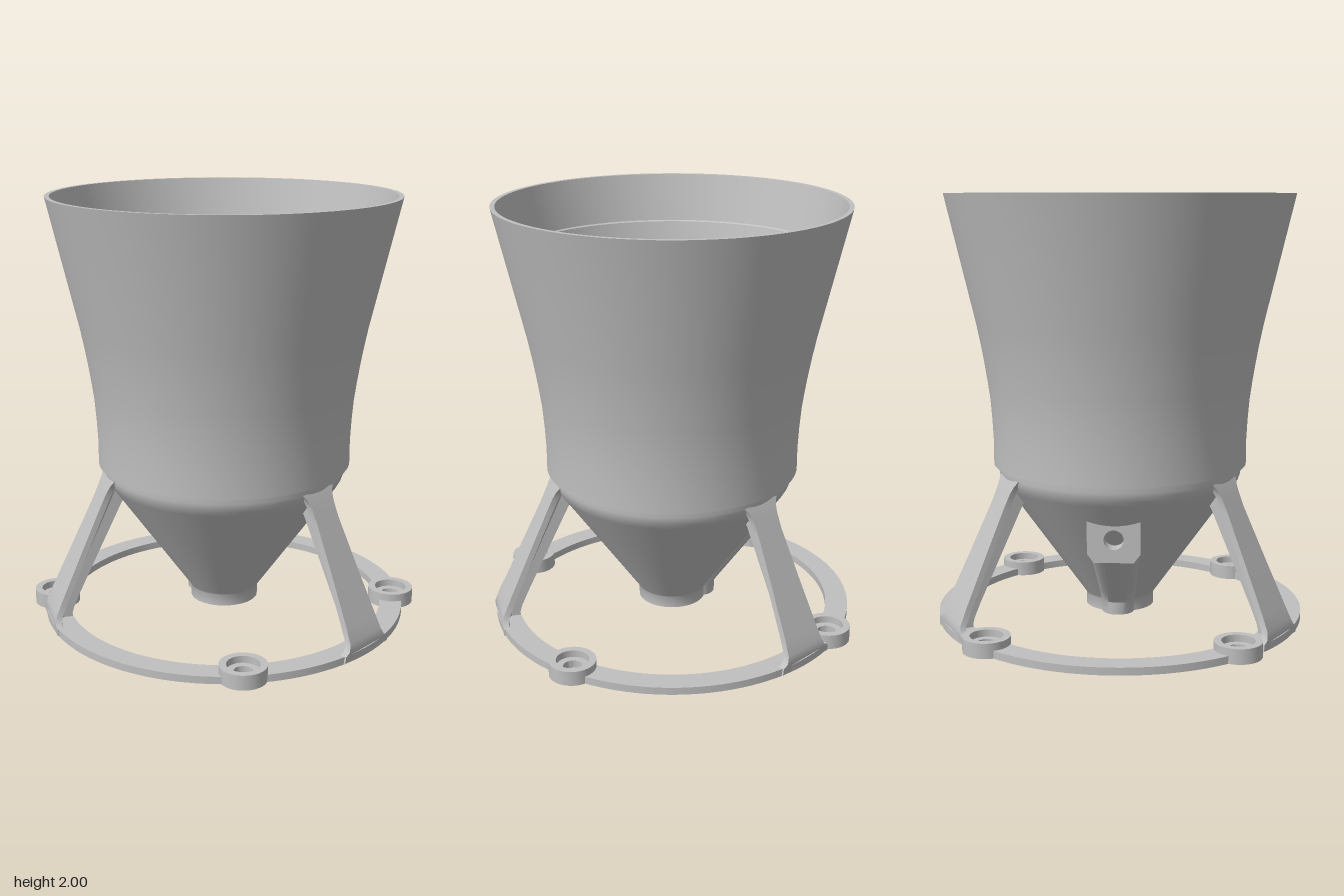
import * as THREE from 'three';
import { toCreasedNormals } from 'three/addons/utils/BufferGeometryUtils.js';

const grey = new THREE.MeshStandardMaterial({ color: 0xc0c0c0 });
grey.name = 'grey plastic';

function part(name, geometry, crease = 0.6) {
  const mesh = new THREE.Mesh(crease ? toCreasedNormals(geometry, crease) : geometry, grey);
  mesh.name = name;
  return mesh;
}

const lathe = (profile, segments = 96) =>
  new THREE.LatheGeometry(profile.map(([r, y]) => new THREE.Vector2(r, y)), segments);

const circle = (Type, x, y, r) => new Type().absarc(x, y, r, 0, Math.PI * 2, false);

// Leg with a T section: wide outer plate and a narrow inner rib, lofted upwards
function legGeometry() {
  const sections = [ // height, half width, outer z, depth
    [0.005, 0.16, 0.866, 0.1], [0.035, 0.155, 0.866, 0.1], [0.05, 0.13, 0.868, 0.1],
    [0.08, 0.116, 0.86, 0.1], [0.15, 0.108, 0.829, 0.1], [0.35, 0.092, 0.737, 0.106],
    [0.58, 0.077, 0.631, 0.113], [0.65, 0.08, 0.6, 0.13], [0.685, 0.09, 0.583, 0.15],
    [0.71, 0.11, 0.57, 0.15]];
  const pos = [], index = [], n = 10;
  for (const [y, w, z, d] of sections) {
    const right = [[w, z], [w, z - 0.03], [0.045, z - 0.04], [0.03, z - 0.055], [0.03, z - d]];
    const left = right.map(([x, pz]) => [-x, pz]).reverse();
    for (const [x, pz] of [...right, ...left]) pos.push(x, y, pz);
  }
  for (let s = 0; s < sections.length - 1; s++) {
    for (let i = 0; i < n; i++) {
      const a = s * n + i, b = s * n + (i + 1) % n;
      index.push(a, b, a + n, b, b + n, a + n);
    }
  }
  const g = new THREE.BufferGeometry();
  g.setAttribute('position', new THREE.Float32BufferAttribute(pos, 3));
  g.setIndex(index);
  return g;
}

export function createModel() {
  const model = new THREE.Group();
  model.name = 'hopper on stand';

  // Flared upper shell with a stepped inner wall
  model.add(part('hopperShell', lathe([
    [0.5, 0.74], [0.6, 0.74], [0.6, 0.85], [0.605, 0.95], [0.613, 1.05], [0.624, 1.13], [0.638, 1.22],
    [0.654, 1.31], [0.672, 1.4], [0.812, 2], [0.79, 2], [0.738, 1.775], [0.728, 1.77],
    [0.645, 1.4], [0.622, 1.3], [0.6, 1.2], [0.57, 1.05], [0.55, 0.94], [0.54, 0.87],
    [0.54, 0.8], [0.5, 0.8], [0.5, 0.74]])));

  // Hollow lower funnel with closed spout
  model.add(part('funnel', lathe([
    [0, 0.04], [0.162, 0.04], [0.162, 0.095], [0.168, 0.105], [0.55, 0.645], [0.565, 0.67], [0.574, 0.695],
    [0.576, 0.71], [0.576, 0.75], [0.46, 0.75], [0.44, 0.6], [0.12, 0.13], [0, 0.13]])));

  // Perforated screen with a hexagonal hole pattern
  const screen = circle(THREE.Shape, 0, 0, 0.505);
  const pitch = 0.02;
  for (let row = -22; row <= 22; row++) {
    for (let col = -20; col <= 20; col++) {
      const x = (col + (row & 1) * 0.5) * pitch, y = row * pitch * 0.866;
      if (Math.hypot(x, y) > 0.37) continue;
      const pts = [];
      for (let k = 0; k < 6; k++) {
        const a = (k + 0.5) * Math.PI / 3;
        pts.push(new THREE.Vector2(x + 0.007 * Math.cos(a), y + 0.007 * Math.sin(a)));
      }
      screen.holes.push(new THREE.Path(pts));
    }
  }
  const screenGeo = new THREE.ExtrudeGeometry(screen, { depth: 0.015, bevelEnabled: false, curveSegments: 48 });
  screenGeo.rotateX(-Math.PI / 2).translate(0, 0.755, 0);
  model.add(part('screen', screenGeo, 0));
  model.add(part('screenRim', lathe([
    [0.425, 0.765], [0.45, 0.765], [0.45, 0.785], [0.43, 0.785], [0.425, 0.765]])));

  // Base ring with screw holes
  const ears = [[1, 1], [-1, 1], [1, -1], [-1, -1]].map(([a, b]) => [a * 0.555, b * 0.61]);
  const ring = circle(THREE.Shape, 0, 0, 0.872);
  ring.holes.push(circle(THREE.Path, 0, 0, 0.765));
  for (const [x, z] of ears) ring.holes.push(circle(THREE.Path, x, z, 0.043));
  const ringGeo = new THREE.ExtrudeGeometry(ring, { depth: 0.035, bevelEnabled: false, curveSegments: 64 });
  ringGeo.rotateX(-Math.PI / 2);
  model.add(part('baseRing', ringGeo));

  // Counterbored mounting ears
  const earGeo = lathe([
    [0.043, 0], [0.108, 0], [0.108, 0.07], [0.075, 0.07], [0.075, 0.037], [0.043, 0.037], [0.043, 0]], 40);
  for (const [x, z] of ears) {
    const ear = part('mountingEar', earGeo);
    ear.position.set(x, 0, z);
    model.add(ear);
  }

  // Three legs
  const legGeo = legGeometry();
  for (let i = 0; i < 3; i++) {
    const leg = part('leg', legGeo);
    leg.rotation.y = i * Math.PI * 2 / 3;
    model.add(leg);
  }

  // Rear port block with a round hole
  const block = new THREE.Shape();
  block.moveTo(-0.09, 0.37).lineTo(0.09, 0.37).lineTo(0.12, 0.41).lineTo(0.12, 0.6)
    .lineTo(-0.12, 0.6).lineTo(-0.12, 0.41).closePath();
  block.holes.push(circle(THREE.Path, 0, 0.475, 0.045));
  const blockGeo = new THREE.ExtrudeGeometry(block, { depth: 0.135, bevelEnabled: false, curveSegments: 24 });
  blockGeo.translate(0, 0, -0.475);
  model.add(part('portBlock', blockGeo));

  // Slanted channel from the port down to the spout, wider at the top
  const channel = new THREE.CylinderGeometry(0.092, 0.075, 0.36, 32, 6);
  channel.translate(0, 0.22, 0);
  const p = channel.attributes.position;
  for (let i = 0; i < p.count; i++) {
    const t = Math.max(0, (p.getY(i) - 0.1) / 0.3);
    p.setX(i, p.getX(i) * (1 + 0.25 * t));
    p.setZ(i, p.getZ(i) - 0.14 - 0.24 * t);
  }
  model.add(part('portChannel', channel));

  return model;
}
